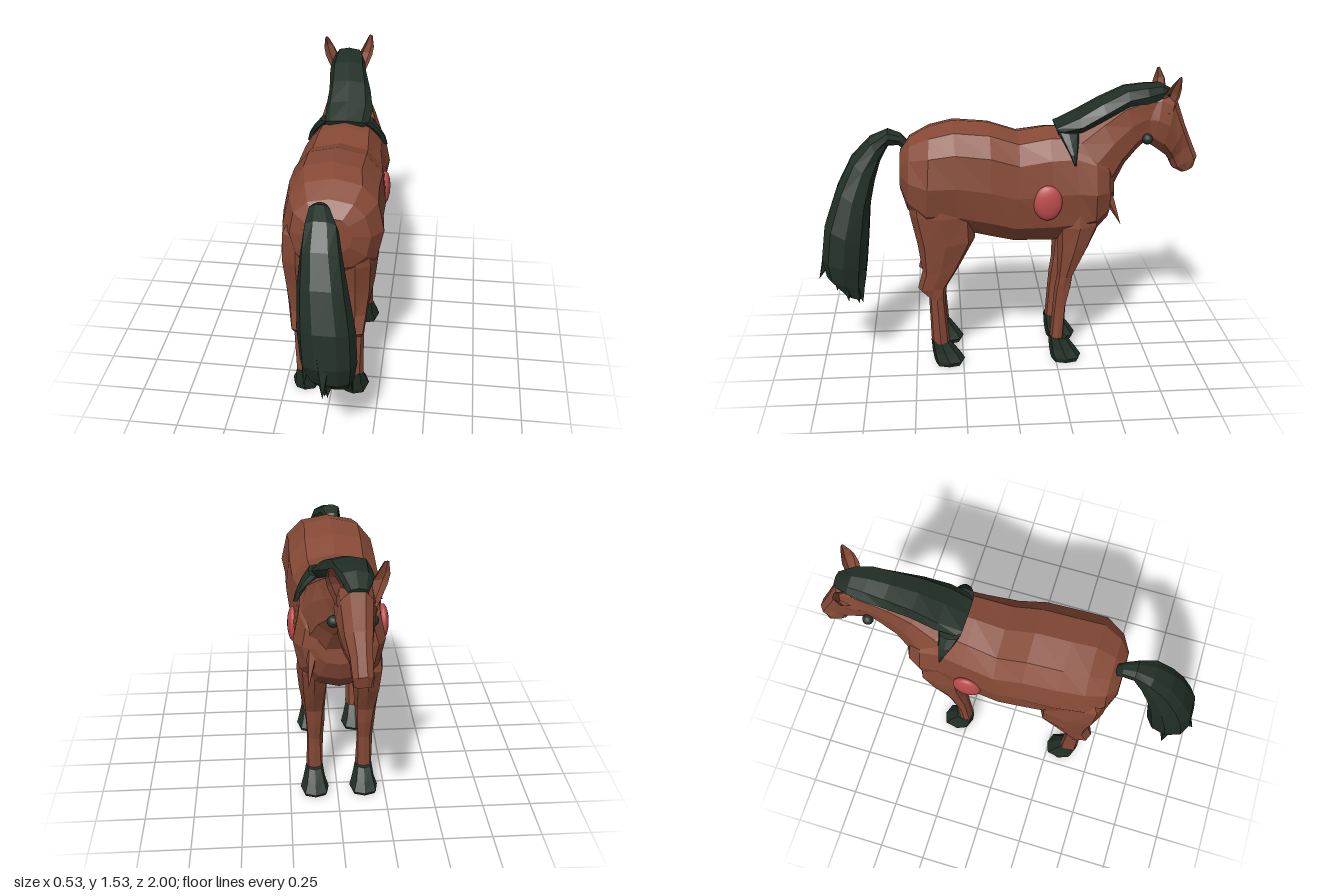
import * as THREE from 'three';

const coat = new THREE.MeshStandardMaterial({ color: 0x874a36 });
coat.name = 'chestnut coat';
const hair = new THREE.MeshStandardMaterial({ color: 0x212f26 });
hair.name = 'dark hair and hoof';
const red = new THREE.MeshStandardMaterial({ color: 0xbc4c4c });
red.name = 'red side disc';

function mesh(geometry, material, name) {
  const m = new THREE.Mesh(geometry, material);
  m.name = name;
  return m;
}

// Faceted skin through rings. Each row is [aZ, aY, bZ, bY, centreX, halfWidth]:
// a and b are the two ends of the ring's midline, a being the top or the front.
function loft(rows, sides = 10, power = 0.8, bump = 0.005) {
  const rings = rows.map(([az, ay, bz, by, cx, w], i) => {
    const ring = [];
    for (let j = 0; j < sides; j++) {
      const t = (j / sides) * Math.PI * 2;
      const soft = (v) => Math.sign(v) * Math.pow(Math.abs(v), power);
      const s = (1 + soft(Math.sin(t))) / 2;
      const wobble = bump * Math.sin(i * 7.3 + j * 4.1);
      ring.push(new THREE.Vector3(
        cx + soft(Math.cos(t)) * (w + wobble), by + (ay - by) * s, bz + (az - bz) * s));
    }
    return ring;
  });
  const points = [];
  const centre = (ring) => ring.reduce((c, p) => c.add(p), new THREE.Vector3()).divideScalar(sides);
  const first = rings[0], last = rings[rings.length - 1];
  const c0 = centre(first), c1 = centre(last);
  for (let j = 0; j < sides; j++) {
    const k = (j + 1) % sides;
    for (let i = 0; i + 1 < rings.length; i++) {
      const p = rings[i], q = rings[i + 1];
      points.push(p[j], q[j], p[k], p[k], q[j], q[k]);
    }
    points.push(c0, first[j], first[k], c1, last[k], last[j]);
  }
  const g = new THREE.BufferGeometry().setFromPoints(points);
  g.computeVertexNormals();
  return g;
}

// Pointed lock from a base to a tip
function spike(base, tip, radius, material, name) {
  const from = new THREE.Vector3(...base), to = new THREE.Vector3(...tip);
  const dir = to.clone().sub(from);
  const g = new THREE.ConeGeometry(radius, dir.length(), 5).toNonIndexed();
  g.computeVertexNormals();
  const m = mesh(g, material, name);
  m.position.copy(from).add(to).multiplyScalar(0.5);
  m.quaternion.setFromUnitVectors(new THREE.Vector3(0, 1, 0), dir.normalize());
  return m;
}

export function createModel() {
  const horse = new THREE.Group();
  horse.name = 'horse';

  // Barrel from rump to chest
  horse.add(mesh(loft([
    [0.55, 1.17, 0.555, 0.98, 0.01, 0.11],
    [0.5, 1.24, 0.52, 0.87, 0.012, 0.19],
    [0.4, 1.295, 0.43, 0.78, 0.016, 0.24],
    [0.28, 1.32, 0.26, 0.75, 0, 0.245],
    [0.1, 1.305, 0.1, 0.71, 0, 0.247],
    [-0.05, 1.255, -0.02, 0.68, -0.006, 0.242],
    [-0.2, 1.28, -0.23, 0.67, -0.006, 0.222],
    [-0.33, 1.28, -0.36, 0.68, 0, 0.21],
    [-0.43, 1.23, -0.44, 0.72, 0, 0.218],
    [-0.5, 1.15, -0.51, 0.8, 0, 0.18],
    [-0.53, 1.06, -0.545, 0.9, 0, 0.115],
  ], 12), coat, 'body'));

  // Neck, turned slightly to one side
  horse.add(mesh(loft([
    [-0.2, 1.24, -0.46, 0.87, 0, 0.195],
    [-0.32, 1.28, -0.54, 0.97, 0, 0.18],
    [-0.45, 1.35, -0.6, 1.08, -0.01, 0.138],
    [-0.58, 1.42, -0.67, 1.15, -0.03, 0.106],
    [-0.68, 1.44, -0.71, 1.18, -0.04, 0.09],
    [-0.77, 1.44, -0.76, 1.2, -0.045, 0.08],
  ]), coat, 'neck'));

  // Head from poll to lips
  horse.add(mesh(loft([
    [-0.7, 1.43, -0.68, 1.19, -0.042, 0.075],
    [-0.79, 1.455, -0.74, 1.16, -0.045, 0.09],
    [-0.86, 1.43, -0.79, 1.125, -0.045, 0.085],
    [-0.92, 1.27, -0.83, 1.095, -0.05, 0.068],
    [-0.96, 1.18, -0.85, 1.065, -0.058, 0.053],
    [-1.0, 1.09, -0.87, 1.025, -0.063, 0.052],
    [-0.985, 1.03, -0.92, 1.0, -0.065, 0.04],
  ]), coat, 'head'));

  // Legs, hooves, eyes, ears and side discs in pairs
  for (const side of [-1, 1]) {
    const label = side > 0 ? 'left' : 'right';
    const place = (rows) => rows.map(([az, ay, bz, by, x, w]) =>
      [az, ay, bz, by, side * x - 0.012, w]);

    horse.add(mesh(loft(place([
      [0.27, 1.14, 0.46, 1.14, 0.11, 0.05],
      [0.22, 1.02, 0.52, 1.03, 0.138, 0.088],
      [0.18, 0.87, 0.51, 0.87, 0.145, 0.095],
      [0.18, 0.73, 0.475, 0.7, 0.143, 0.085],
      [0.27, 0.56, 0.455, 0.55, 0.14, 0.065],
      [0.33, 0.46, 0.48, 0.45, 0.137, 0.055],
      [0.34, 0.38, 0.425, 0.4, 0.134, 0.048],
      [0.322, 0.13, 0.418, 0.13, 0.13, 0.046],
    ]), 8), coat, `${label} hind leg`));

    horse.add(mesh(loft(place([
      [-0.45, 1.02, -0.25, 1.02, 0.12, 0.07],
      [-0.47, 0.8, -0.24, 0.78, 0.132, 0.082],
      [-0.41, 0.66, -0.25, 0.66, 0.135, 0.068],
      [-0.335, 0.51, -0.25, 0.5, 0.132, 0.052],
      [-0.322, 0.42, -0.238, 0.42, 0.13, 0.047],
      [-0.3, 0.32, -0.23, 0.32, 0.13, 0.042],
      [-0.29, 0.13, -0.217, 0.13, 0.13, 0.045],
    ]), 8), coat, `${label} front leg`));

    // Hooves flare forward from the ankle
    for (const [end, heel] of [['hind', 0.42], ['front', -0.21]]) {
      horse.add(mesh(loft(place([
        [heel - 0.1, 0.13, heel, 0.145, 0.13, 0.046],
        [heel - 0.145, 0.07, heel - 0.005, 0.075, 0.13, 0.058],
        [heel - 0.178, 0.02, heel - 0.012, 0.03, 0.13, 0.073],
        [heel - 0.165, 0, heel - 0.02, 0, 0.13, 0.066],
      ]), 8), hair, `${label} ${end} hoof`));
    }

    const eye = mesh(new THREE.SphereGeometry(0.028, 12, 8), hair, `${label} eye`);
    eye.position.set(-0.04 + side * 0.088, 1.212, -0.71);
    horse.add(eye);

    // Ears lean outward, widest below the tip
    const shift = side > 0 ? -0.04 : 0.02;
    horse.add(mesh(loft([
      [-0.84, 1.34, -0.77, 1.34, -0.05 + side * 0.065, 0.028],
      [-0.845 + shift * 0.5, 1.43, -0.765 + shift * 0.5, 1.43, -0.05 + side * 0.092, 0.038],
      [-0.845 + shift * 0.6, 1.48, -0.78 + shift * 0.6, 1.47, -0.05 + side * 0.108, 0.03],
      [-0.825 + shift, 1.535, -0.81 + shift, 1.53, -0.052 + side * 0.12, 0.01],
    ], 6, 1, 0), coat, `${label} ear`));

    const disc = mesh(new THREE.SphereGeometry(1, 20, 14), red, `${label} side disc`);
    disc.scale.set(0.03, 0.092, 0.073);
    disc.position.set(side * 0.225 - 0.01, 0.94, -0.185);
    horse.add(disc);

    // Points of mane lying on the shoulders
    horse.add(mesh(loft([
      [-0.35, 1.27, -0.238, 1.282, side * 0.105, 0.035],
      [-0.342, 1.22, -0.265, 1.235, side * 0.15, 0.027],
      [-0.333, 1.18, -0.293, 1.185, side * 0.182, 0.02],
      [-0.327, 1.13, -0.317, 1.13, side * 0.205, 0.01],
    ], 8, 0.8, 0), hair, `${label} mane point`));
  }

  // Small fold hanging off the chest
  horse.add(spike([0.13, 0.97, -0.49], [0.155, 0.79, -0.57], 0.035, coat, 'chest fold'));

  // Mane from the withers to the forelock
  horse.add(mesh(loft([
    [-0.235, 1.292, -0.25, 1.25, 0, 0.115],
    [-0.35, 1.352, -0.375, 1.25, 0, 0.125],
    [-0.47, 1.42, -0.5, 1.3, -0.01, 0.11],
    [-0.6, 1.475, -0.62, 1.36, -0.03, 0.097],
    [-0.7, 1.485, -0.72, 1.38, -0.035, 0.09],
    [-0.78, 1.485, -0.79, 1.4, -0.045, 0.075],
    [-0.865, 1.44, -0.85, 1.39, -0.05, 0.045],
  ], 8), hair, 'mane'));

  // Tail arching off the rump and spreading downward
  horse.add(mesh(loft([
    [0.51, 1.15, 0.5, 1.2, -0.02, 0.025],
    [0.56, 1.19, 0.545, 1.25, -0.025, 0.035],
    [0.61, 1.19, 0.61, 1.275, -0.02, 0.05],
    [0.65, 1.12, 0.7, 1.24, -0.005, 0.08],
    [0.68, 1.02, 0.8, 1.14, 0.005, 0.1],
    [0.71, 0.88, 0.88, 0.99, 0.02, 0.12],
    [0.725, 0.7, 0.95, 0.8, 0.04, 0.135],
    [0.74, 0.56, 0.975, 0.62, 0.05, 0.13],
    [0.755, 0.46, 0.955, 0.52, 0.065, 0.1],
    [0.77, 0.39, 0.87, 0.43, 0.075, 0.07],
  ], 10), hair, 'tail'));

  // Ragged tail ends
  const locks = [
    [[-0.04, 0.7, 0.85], [-0.07, 0.43, 0.86], 0.05],
    [[0.05, 0.55, 0.82], [0.02, 0.32, 0.8], 0.075],
    [[0.1, 0.55, 0.8], [0.13, 0.38, 0.77], 0.06],
    [[0.11, 0.58, 0.86], [0.16, 0.4, 0.84], 0.06],
    [[0.06, 0.6, 0.89], [0.05, 0.41, 0.91], 0.06],
    [[0.03, 0.66, 0.92], [0.04, 0.48, 1.0], 0.05],
  ];
  for (const [base, tip, radius] of locks) horse.add(spike(base, tip, radius, hair, 'tail lock'));

  return horse;
}
